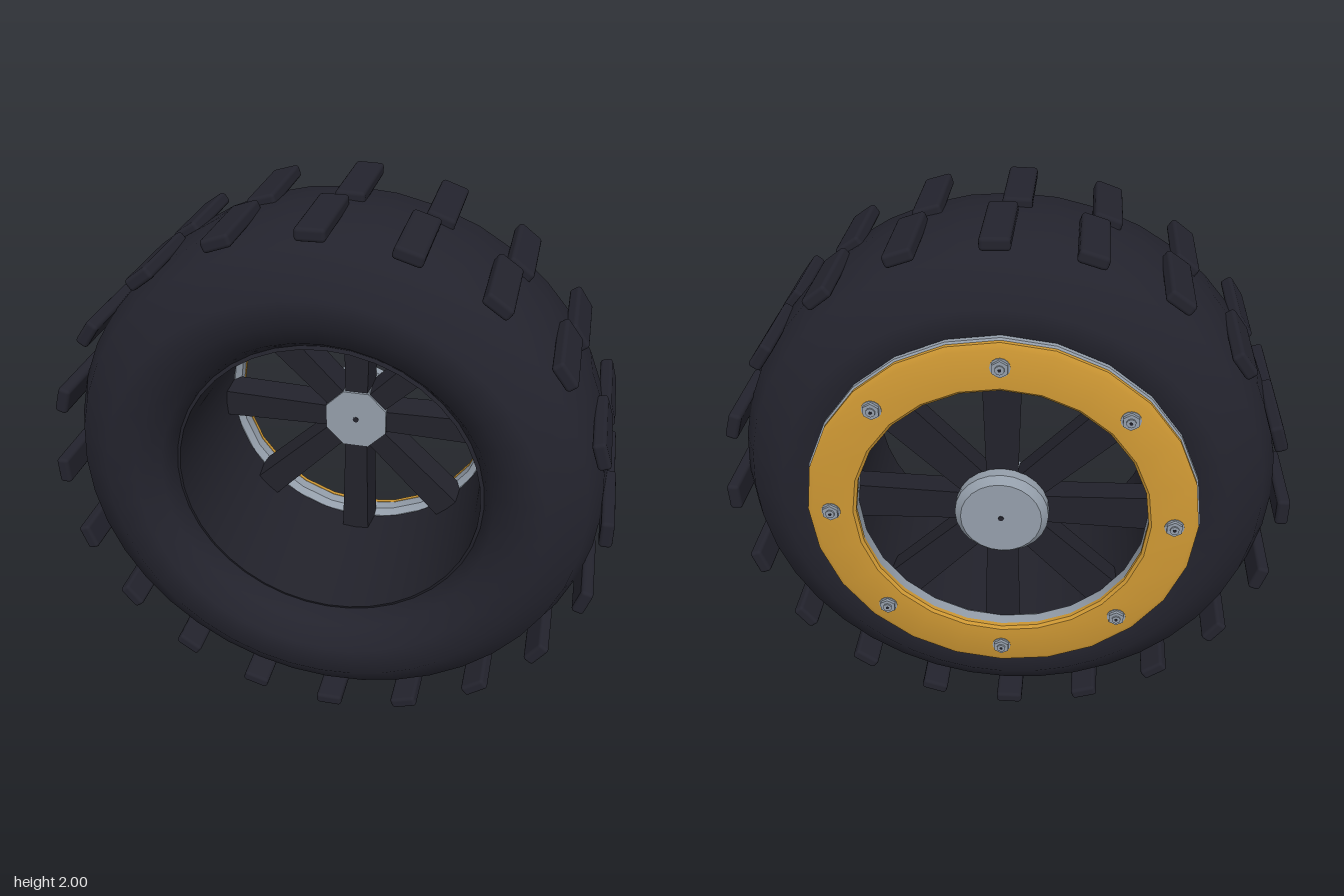
import * as THREE from 'three';
import { toCreasedNormals } from 'three/addons/utils/BufferGeometryUtils.js';
import { RoundedBoxGeometry } from 'three/addons/geometries/RoundedBoxGeometry.js';

const flat = (name, color) => Object.assign(new THREE.MeshStandardMaterial({ color }), { name });

export function createModel() {
  const rubber = flat('rubber', 0x23232d);
  const steel = flat('steel', 0x949eaa);
  const gold = flat('gold', 0xcd9733);
  const dark = flat('dark metal', 0x22222b);

  const model = new THREE.Group();
  model.name = 'wheel';
  const wheel = new THREE.Group();
  wheel.name = 'wheelAssembly';
  wheel.position.y = 1;
  model.add(wheel);

  const add = (name, geometry, material, parent = wheel) => {
    const mesh = new THREE.Mesh(geometry, material);
    mesh.name = name;
    parent.add(mesh);
    return mesh;
  };

  // Profile of [radius, z] pairs turned around the z axle
  const turn = (profile, sides, crease) => {
    const points = profile.map(([r, z]) => new THREE.Vector2(r, z));
    const g = new THREE.LatheGeometry(points, sides).rotateX(Math.PI / 2);
    return crease ? toCreasedNormals(g, crease) : g;
  };
  const ring = (profile, sides) => turn([...profile, profile[0]], sides, 0.5);

  // Disc or prism along z, between two depths
  const prism = (r, z0, z1, sides, turnBy = 0) =>
    new THREE.CylinderGeometry(r, r, z1 - z0, sides)
      .rotateX(Math.PI / 2).rotateZ(turnBy).translate(0, 0, (z0 + z1) / 2);

  // Tyre carcass with rounded shoulders
  add('tyre', turn([
    [0.56, -0.22], [0.60, -0.29], [0.68, -0.335], [0.78, -0.35], [0.912, -0.25],
    [0.96, -0.15], [0.973, 0.025], [0.96, 0.2], [0.912, 0.3], [0.78, 0.4],
    [0.68, 0.385], [0.60, 0.335], [0.56, 0.27], [0.56, -0.22],
  ], 40), rubber);

  // Two rows of tread blocks, slightly staggered
  const block = new RoundedBoxGeometry(0.1, 0.045, 0.33, 2, 0.013);
  for (const [row, z, shift] of [['front', 0.203, 0.0225], ['back', -0.147, -0.0225]]) {
    for (let i = 0; i < 20; i++) {
      const a = (i * Math.PI) / 10 + shift;
      const tread = add(row + 'Tread', block, rubber);
      tread.position.set(-Math.sin(a) * 0.976, Math.cos(a) * 0.976, z);
      tread.rotation.z = a;
    }
  }

  // Rim: dark barrel, steel flange and gold clamp ring
  add('rimBarrel', ring([[0.57, -0.3], [0.57, 0.27], [0.55, 0.28], [0.535, -0.3]], 40), dark);
  add('rimFlange', ring([
    [0.68, -0.366], [0.69, -0.358], [0.69, -0.34], [0.56, -0.3],
    [0.535, -0.295], [0.514, -0.32], [0.514, -0.366],
  ], 24), steel);
  add('clampRing', ring([
    [0.665, -0.39], [0.684, -0.38], [0.684, -0.365],
    [0.512, -0.365], [0.512, -0.381], [0.522, -0.39],
  ], 24), gold);

  // Spokes widen toward the rim and narrow toward the front
  const spokeShape = new THREE.BoxGeometry(1, 1, 1);
  const p = spokeShape.attributes.position;
  for (let i = 0; i < p.count; i++) {
    const outer = p.getY(i) > 0, front = p.getZ(i) > 0;
    const half = (outer ? 0.067 : 0.054) * (front ? 0.8 : 1);
    p.setXYZ(i, Math.sign(p.getX(i)) * half, outer ? 0.54 : 0.09, front ? -0.21 : -0.32);
  }
  spokeShape.computeVertexNormals();
  for (let i = 0; i < 8; i++) {
    add('spoke', spokeShape, dark).rotation.z = (i * Math.PI) / 4;
  }

  // Hub: octagonal front, chamfered round cap behind
  add('hubFront', toCreasedNormals(prism(0.13, -0.34, -0.2, 8, Math.PI / 8), 0.3), steel);
  add('hubCap', turn([
    [0, -0.386], [0.142, -0.386], [0.165, -0.36], [0.165, -0.32], [0, -0.32],
  ], 24, 0.5), steel);
  add('axleDotFront', prism(0.012, -0.201, -0.198, 8), dark);
  add('axleDotBack', prism(0.01, -0.389, -0.385, 8), dark);

  // Eight bolts around the clamp ring
  const washer = prism(0.034, -0.393, -0.38, 16);
  const nut = prism(0.03, -0.405, -0.385, 6);
  const stud = prism(0.016, -0.411, -0.4, 10);
  const tip = prism(0.006, -0.412, -0.41, 8);
  for (let i = 0; i < 8; i++) {
    const a = (i * Math.PI) / 4;
    const bolt = new THREE.Group();
    bolt.name = 'bolt';
    bolt.position.set(Math.cos(a) * 0.6, Math.sin(a) * 0.6, 0);
    add('washer', washer, steel, bolt);
    add('nut', nut, steel, bolt);
    add('stud', stud, steel, bolt);
    add('studTip', tip, dark, bolt);
    wheel.add(bolt);
  }

  return model;
}
